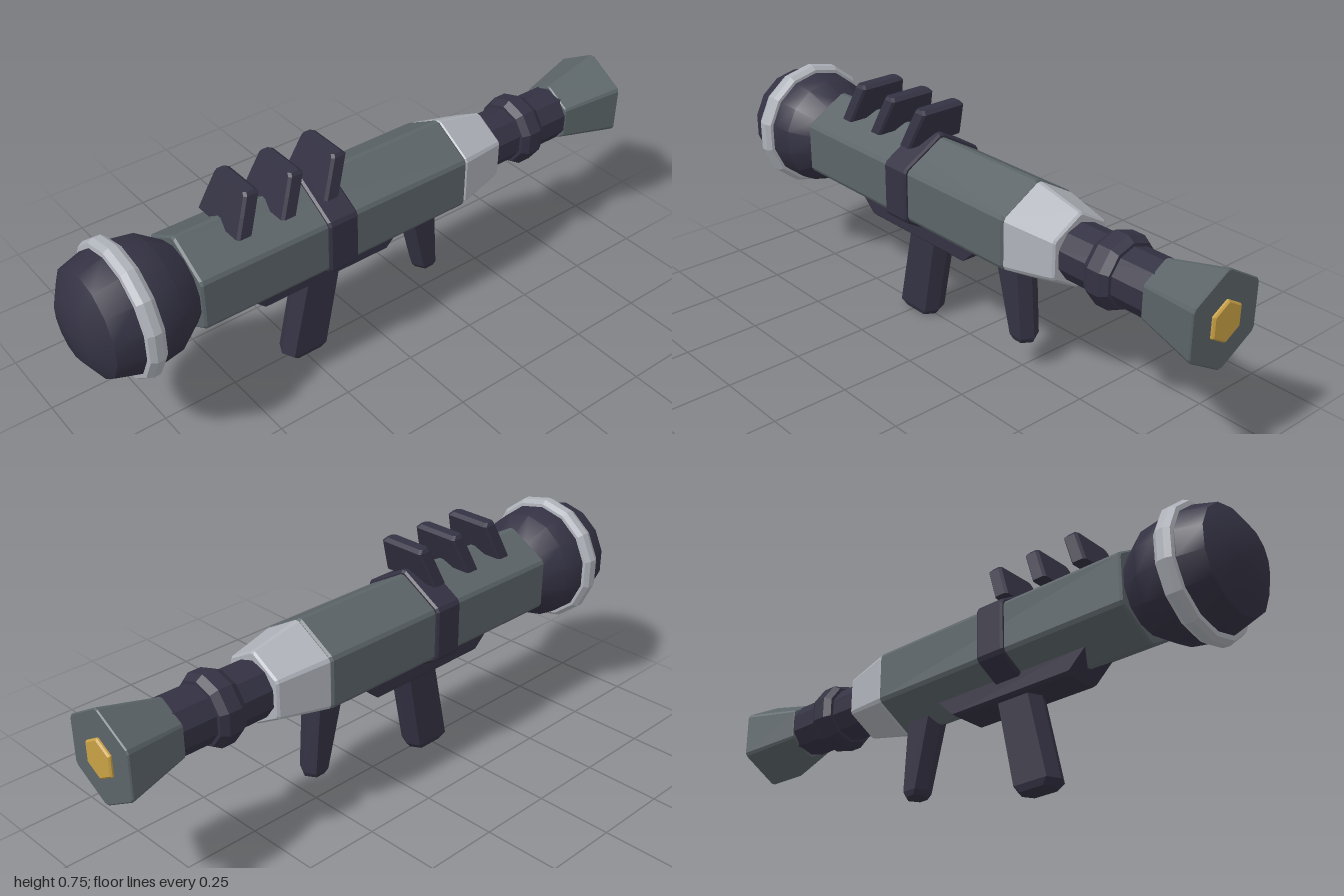
import * as THREE from 'three';
import { toCreasedNormals } from 'three/addons/utils/BufferGeometryUtils.js';
import { ConvexGeometry } from 'three/addons/geometries/ConvexGeometry.js';

const AXIS_Y = 0.488; // height of the tube axis

function mat(name, color) {
  const m = new THREE.MeshStandardMaterial({ color });
  m.name = name;
  return m;
}

// Chamfered hexagonal solid along z, from [z, radius] stations, ridge pointing up
function hexSolid(stations, chamfer = 0.05) {
  const pts = [];
  for (const [z, r] of stations) {
    const corner = (i) => new THREE.Vector3(Math.sin(i * Math.PI / 3) * r, AXIS_Y + Math.cos(i * Math.PI / 3) * r, z);
    for (let i = 0; i < 6; i++) {
      pts.push(corner(i).lerp(corner(i + 1), chamfer), corner(i).lerp(corner(i - 1), chamfer));
    }
  }
  return new ConvexGeometry(pts);
}

// Hexagonal prism with bevelled ends; radius changes from r0 to r1
function bevelledHex(z0, z1, r0, r1 = r0, b = 0.007) {
  return hexSolid([[z0, r0 - b], [z0 + b, r0], [z1 - b, r1], [z1, r1 - b]]);
}

// Turned solid along z from [radius, z] points, z rising on the outside
function turned(profile, sides, crease) {
  const g = new THREE.LatheGeometry(profile.map(([r, z]) => new THREE.Vector2(r, z)), sides);
  g.rotateX(Math.PI / 2);
  g.translate(0, AXIS_Y, 0);
  return toCreasedNormals(g, crease);
}

// Grip with ridged front and back, from [y, zBack, zFront, halfWidth] levels
function gripSolid(levels, ridge = 0.02) {
  const pts = [];
  for (const [y, zb, zf, w] of levels) {
    pts.push(new THREE.Vector3(0, y, zf), new THREE.Vector3(0, y, zb));
    for (const s of [-1, 1]) {
      pts.push(new THREE.Vector3(s * w, y, zf - ridge), new THREE.Vector3(s * w, y, zb + ridge));
    }
  }
  return new ConvexGeometry(pts);
}

// Leaning sight fin with clipped upper corners; z is the front of its foot
function finSolid(z) {
  const pts = [];
  for (const [x, y] of [[0.105, 0.625], [0.093, 0.685], [0.081, 0.74], [0.074, 0.75]]) {
    const zf = z - (y - 0.625) * 0.4;
    const thick = y > 0.745 ? 0.028 : 0.045;
    for (const s of [-1, 1]) {
      pts.push(new THREE.Vector3(s * x, y, zf - 0.008), new THREE.Vector3(s * x, y, zf - thick));
      pts.push(new THREE.Vector3(s * (x - 0.008), y, zf), new THREE.Vector3(s * (x - 0.008), y, zf - thick - 0.006));
    }
  }
  return new ConvexGeometry(pts);
}

export function createModel() {
  const model = new THREE.Group();
  model.name = 'launcher';
  const dark = mat('dark', 0x343243);
  const steel = mat('steel', 0x5b6468);
  const silver = mat('silver', 0xaeb2b9);
  const gold = mat('gold', 0xc9a145);

  const add = (name, geometry, material) => {
    const mesh = new THREE.Mesh(geometry, material);
    mesh.name = name;
    model.add(mesh);
  };

  // Round warhead and its ring
  add('warhead', turned([[0, 0.65], [0.125, 0.655], [0.18, 0.735], [0.19, 0.8], [0.19, 0.87],
    [0.168, 0.945], [0.095, 0.99], [0, 1]], 14, 0.5), dark);
  add('warheadRing', turned([[0.18, 0.808], [0.2, 0.81], [0.212, 0.825], [0.213, 0.848],
    [0.204, 0.866], [0.18, 0.87]], 14, 0.3), silver);

  // Main tube, strap and rear taper
  add('mainTube', bevelledHex(-0.3, 0.66, 0.162), steel);
  add('strap', bevelledHex(0.13, 0.233, 0.175), dark);
  add('rearTaper', bevelledHex(-0.475, -0.298, 0.121, 0.159), silver);

  // Exhaust pipe, collar and nozzle
  add('exhaustPipe', turned([[0, -0.8], [0.09, -0.8], [0.09, -0.46], [0, -0.46]], 10, 0.1), dark);
  add('exhaustCollar', turned([[0.08, -0.675], [0.1, -0.673], [0.115, -0.65], [0.115, -0.605],
    [0.1, -0.582], [0.08, -0.58]], 10, 0.1), dark);
  add('nozzle', bevelledHex(-0.99, -0.785, 0.152, 0.102, 0.004), steel);
  add('nozzlePlug', hexSolid([[-1, 0.058], [-0.995, 0.064], [-0.98, 0.064]], 0.02), gold);

  // Sight fins
  for (let i = 0; i < 3; i++) add('sightFin' + (i + 1), finSolid(0.515 - i * 0.15), dark);

  // Underside rail with sloped ends
  const rail = [];
  for (const s of [-1, 1]) {
    for (const [y, zb, zf, w] of [[0.37, -0.11, 0.48, 0.066], [0.308, -0.045, 0.412, 0.066], [0.3, -0.035, 0.402, 0.058]]) {
      rail.push(new THREE.Vector3(s * w, y, zb), new THREE.Vector3(s * w, y, zf));
    }
  }
  add('undersideRail', new ConvexGeometry(rail), dark);

  // Front and rear grips
  add('frontGrip', gripSolid([[0.32, 0.1, 0.255, 0.044], [0.02, 0.158, 0.322, 0.042], [0, 0.175, 0.3, 0.034]]), dark);
  add('rearGrip', gripSolid([[0.36, -0.28, -0.15, 0.042], [0.12, -0.3, -0.21, 0.038], [0.103, -0.294, -0.222, 0.032]]), dark);

  return model;
}
